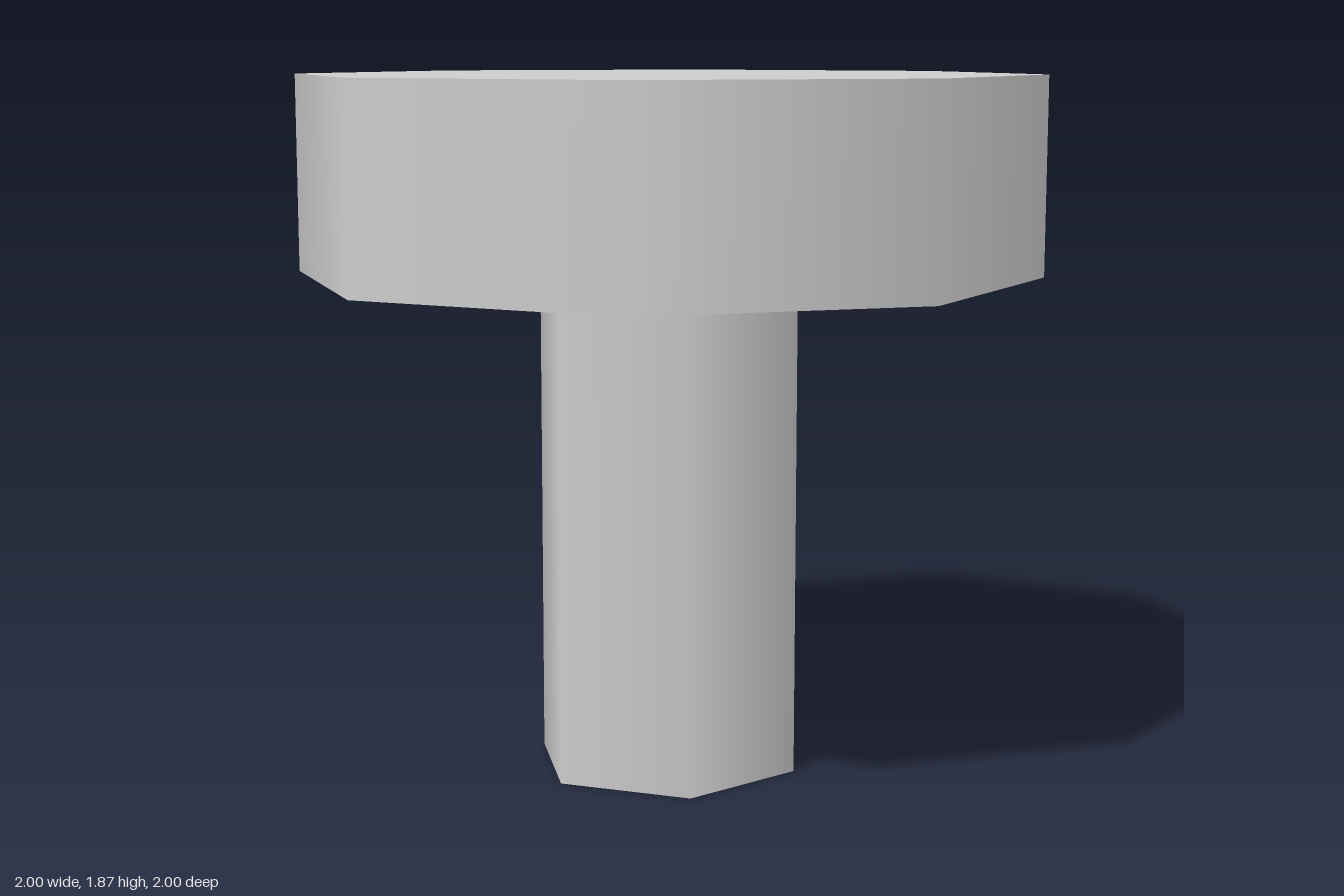
import * as THREE from 'three';

export function createModel() {
  const model = new THREE.Group();
  const grey = new THREE.MeshStandardMaterial({ color: 0xcccccc, side: THREE.DoubleSide });
  grey.name = 'lightGrey';

  const add = (name, geometry, y) => {
    const mesh = new THREE.Mesh(geometry, grey);
    mesh.name = name;
    mesh.position.y = y;
    model.add(mesh);
  };

  const bottom = 1.34, top = 1.87, stemTop = 1.6;

  // Hexagonal stem, corners on the x axis, ending inside the hollow cap
  add('stem', new THREE.CylinderGeometry(0.367, 0.367, stemTop, 6, 1, false, Math.PI / 2), stemTop / 2);

  // Hollow octagonal cap: thin wall, closed on top and open below
  add('capWall', new THREE.CylinderGeometry(1, 1, top - bottom, 8, 1, true), (top + bottom) / 2);
  add('capTop', new THREE.CircleGeometry(1, 8).rotateX(-Math.PI / 2), top);

  return model;
}
